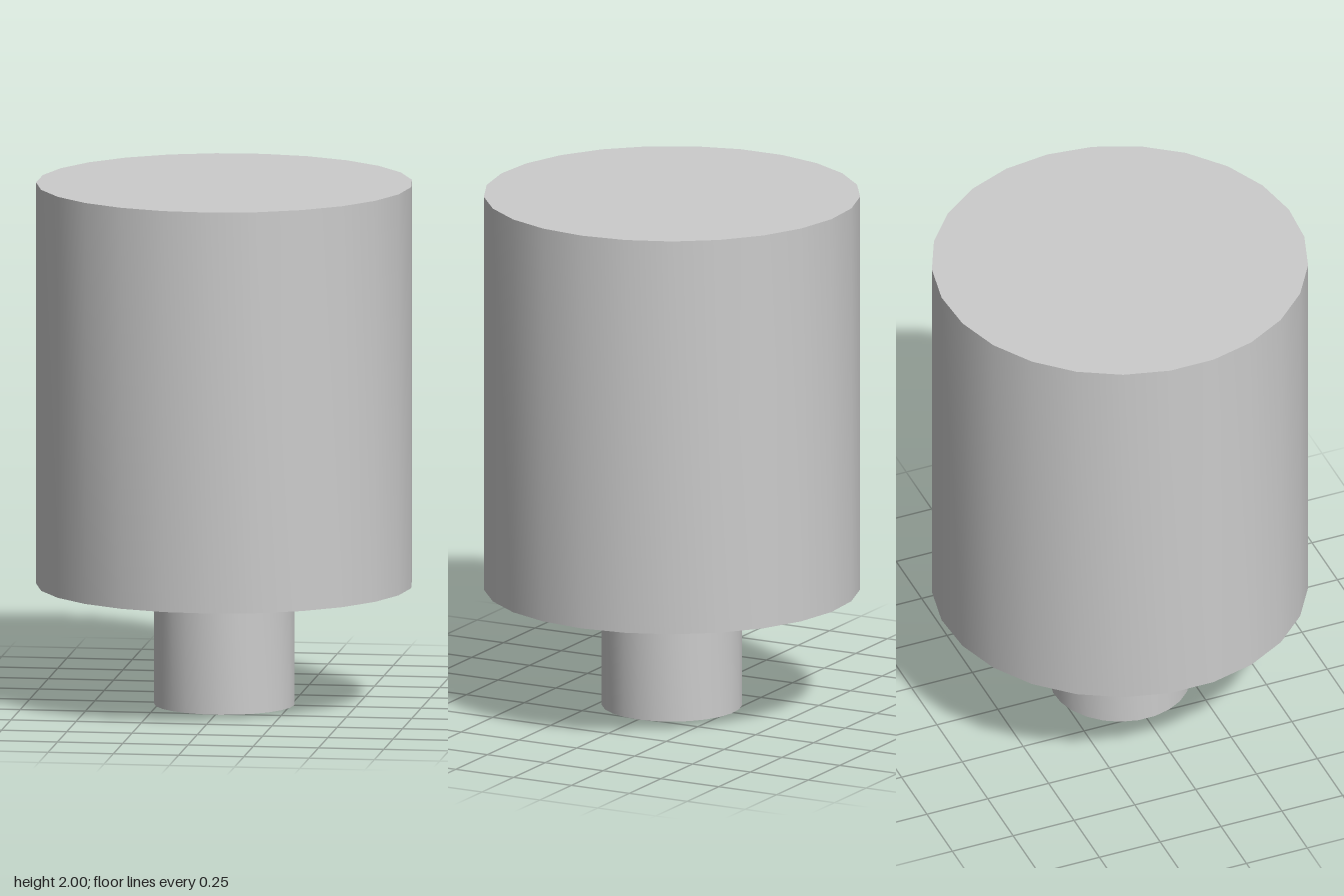
import * as THREE from 'three';
import { toCreasedNormals } from 'three/addons/utils/BufferGeometryUtils.js';

const SIDES = 25;

// Revolve a bottom-to-top profile, with a polygon corner on +x
function turned(name, profile, material) {
  const points = profile.map(([r, y]) => new THREE.Vector2(r, y));
  const lathe = new THREE.LatheGeometry(points, SIDES, Math.PI / 2);
  const mesh = new THREE.Mesh(toCreasedNormals(lathe, 0.28), material);
  mesh.name = name;
  return mesh;
}

export function createModel() {
  const group = new THREE.Group();
  group.name = 'model';
  const grey = new THREE.MeshStandardMaterial({ color: 0xcccccc });

  // Large drum with a shallow conical recess under it, around the shaft
  const drum = turned('drum', [
    [0.265, 0.5], [0.387, 0.46], [0.715, 0.46], [0.715, 2], [0, 2],
  ], grey);

  // Narrow shaft running up into the recess
  const shaft = turned('shaft', [[0, 0], [0.267, 0], [0.267, 0.51]], grey);

  group.add(drum, shaft);
  // An odd number of sides sits slightly off centre in x
  drum.position.x = shaft.position.x = -0.003;
  return group;
}
